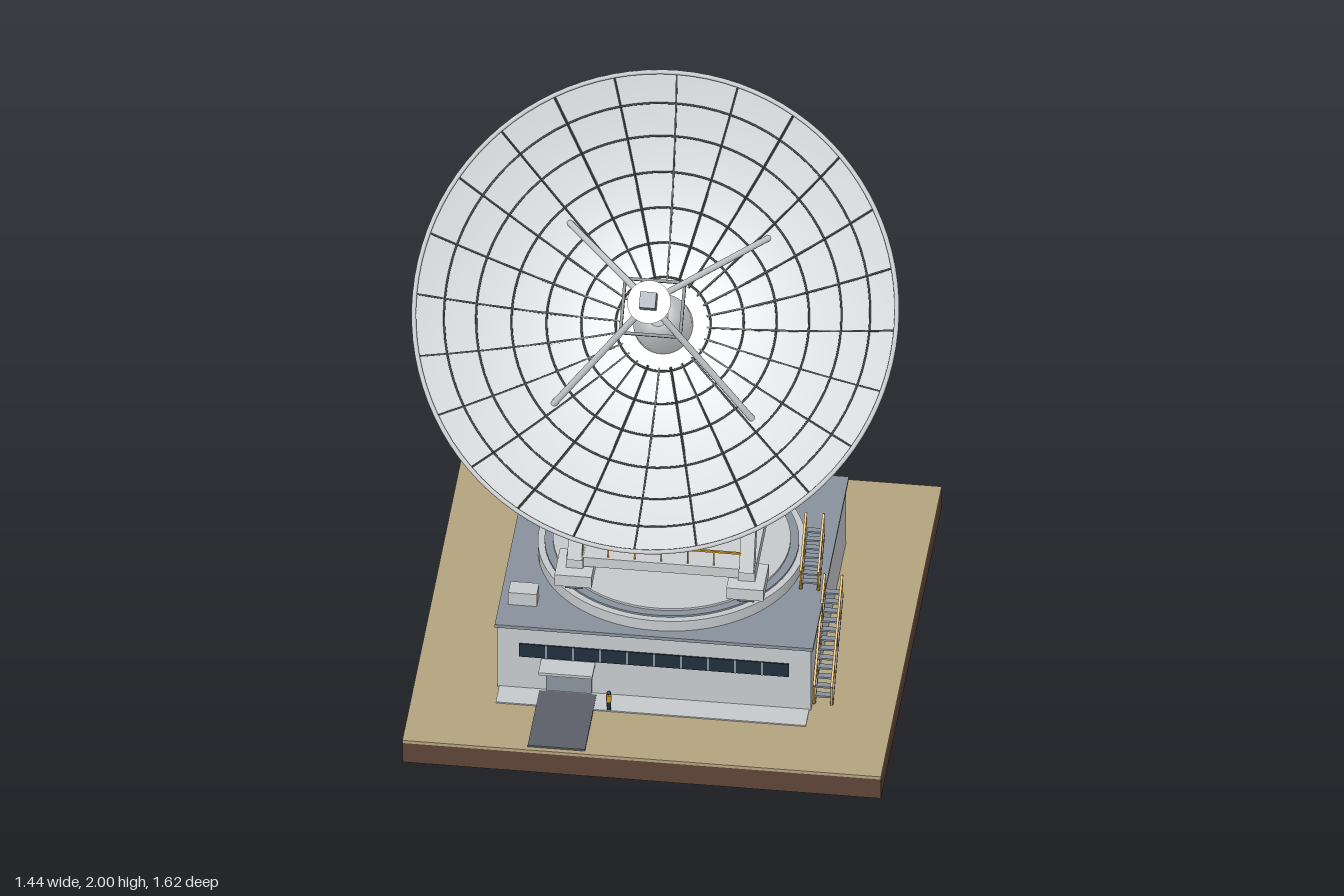
import * as THREE from 'three';

const material = (name, color, side = THREE.FrontSide) => {
  const m = new THREE.MeshStandardMaterial({ color, side });
  m.name = name;
  return m;
};
const M = {
  dish: material('dish white', 0xdcdfe1, THREE.DoubleSide),
  steel: material('pale steel', 0xcbcdcf),
  wall: material('wall grey', 0xc6c9cc),
  slate: material('slate grey', 0x88929c),
  seam: material('dark seam', 0x484c50),
  sand: material('dry ground', 0xb3a37e),
  soil: material('soil', 0x5e4437),
  glass: material('dark glass', 0x1f2e3b),
  asphalt: material('asphalt', 0x5c5e68),
  yellow: material('safety yellow', 0xcfa02a),
};
const V = (x, y, z) => new THREE.Vector3(x, y, z);

function add(parent, name, geo, mat, x = 0, y = 0, z = 0) {
  const mesh = new THREE.Mesh(geo, mat);
  mesh.name = name;
  mesh.position.set(x, y, z);
  parent.add(mesh);
  return mesh;
}
// box given by its limits
function box(parent, name, mat, x0, x1, y0, y1, z0, z1) {
  return add(parent, name, new THREE.BoxGeometry(x1 - x0, y1 - y0, z1 - z0), mat,
    (x0 + x1) / 2, (y0 + y1) / 2, (z0 + z1) / 2);
}
const drum = (parent, name, mat, r0, r1, y0, y1, x, z, n = 32) =>
  add(parent, name, new THREE.CylinderGeometry(r1, r0, y1 - y0, n), mat, x, (y0 + y1) / 2, z);
// straight member between two points; square section or round
function bar(parent, name, mat, a, b, w, round = false) {
  const len = a.distanceTo(b);
  const geo = round ? new THREE.CylinderGeometry(w / 2, w / 2, len, 8) : new THREE.BoxGeometry(w, w, len);
  if (round) geo.rotateX(Math.PI / 2);
  const mesh = add(parent, name, geo, mat);
  mesh.position.copy(a).lerp(b, 0.5);
  mesh.lookAt(b);
  return mesh;
}
function group(parent, name) {
  const g = new THREE.Group();
  g.name = name;
  if (parent) parent.add(g);
  return g;
}

const AXIS_Y = 1.1, AXIS_Z = -0.095;

function buildSite(root) {
  const g = group(root, 'site');
  box(g, 'soil block', M.soil, -0.71, 0.71, 0, 0.07, -0.81, 0.615);
  box(g, 'ground', M.sand, -0.71, 0.71, 0.07, 0.08, -0.81, 0.615);
  box(g, 'walkway', M.wall, -0.46, 0.46, 0.08, 0.084, 0.32, 0.4);
  box(g, 'driveway', M.asphalt, -0.34, -0.17, 0.08, 0.086, 0.33, 0.6);
  // building
  box(g, 'walls', M.wall, -0.465, 0.465, 0.08, 0.305, -0.505, 0.32);
  box(g, 'roof', M.slate, -0.472, 0.472, 0.305, 0.316, -0.515, 0.33);
  for (const z of [0.321, -0.506]) {
    box(g, 'windowBand', M.glass, -0.4, 0.4, 0.2, 0.247, z - 0.003, z + 0.003);
    for (let i = 1; i < 10; i++)
      box(g, 'mullion', M.slate, -0.403 + i * 0.08, -0.397 + i * 0.08, 0.2, 0.247, z - 0.004, z + 0.004);
  }
  box(g, 'garageDoor', M.slate, -0.32, -0.185, 0.084, 0.185, 0.318, 0.325);
  box(g, 'canopy', M.wall, -0.335, -0.175, 0.187, 0.196, 0.32, 0.39);
  for (const z of [-0.45, 0.2]) box(g, 'roofUnit', M.wall, -0.445, -0.36, 0.316, 0.36, z - 0.028, z + 0.028);
  // standing figure for scale
  drum(g, 'figureLegs', M.glass, 0.006, 0.007, 0.084, 0.115, -0.125, 0.395, 8);
  drum(g, 'figureTorso', M.yellow, 0.008, 0.008, 0.115, 0.138, -0.125, 0.395, 8);
  add(g, 'figureHead', new THREE.SphereGeometry(0.007, 8, 6), M.glass, -0.125, 0.145, 0.395);
}

// one flight of stairs with stringers, treads and handrails
function flight(parent, x0, x1, a, b, n) {
  const g = group(parent, 'stairs');
  for (const x of [x0, x1]) {
    const p = V(x, a.y, a.z), q = V(x, b.y, b.z), up = V(0, 0.065, 0);
    bar(g, 'stringer', M.seam, p, q, 0.009);
    bar(g, 'handrail', M.yellow, p.clone().add(up), q.clone().add(up), 0.007);
    for (let i = 0; i <= 4; i++) {
      const s = p.clone().lerp(q, i / 4);
      bar(g, 'railPost', M.yellow, s, s.clone().add(up), 0.005);
    }
  }
  for (let i = 1; i <= n; i++) {
    const y = a.y + (b.y - a.y) * i / n, z = a.z + (b.z - a.z) * i / n;
    box(g, 'tread', M.slate, x0, x1, y - 0.003, y + 0.003, z - 0.01, z + 0.01);
  }
}

function buildMount(root) {
  const g = group(root, 'mount');
  drum(g, 'trackBase', M.wall, 0.395, 0.395, 0.316, 0.352, 0, AXIS_Z, 64);
  drum(g, 'trackRing', M.slate, 0.375, 0.375, 0.352, 0.358, 0, AXIS_Z, 64);
  drum(g, 'trackTop', M.wall, 0.35, 0.35, 0.352, 0.365, 0, AXIS_Z, 64);
  box(g, 'deck', M.steel, -0.25, 0.25, 0.43, 0.463, -0.355, 0.165);
  drum(g, 'azimuthColumn', M.steel, 0.055, 0.055, 0.46, 0.92, 0, AXIS_Z);
  box(g, 'columnHead', M.steel, -0.09, 0.09, 0.9, 1.06, AXIS_Z - 0.055, AXIS_Z + 0.055);
  // deck railings
  for (const z of [0.155, -0.345]) {
    box(g, 'deckRail', M.yellow, -0.235, 0.235, 0.511, 0.517, z - 0.003, z + 0.003);
    for (let i = 0; i <= 6; i++)
      bar(g, 'deckPost', M.yellow, V(-0.235 + i * 0.0783, 0.46, z), V(-0.235 + i * 0.0783, 0.515, z), 0.004);
  }
  for (const s of [-1, 1]) {
    const x = s * 0.255;
    // A-frame in the side plane
    const P = (y, side) => V(x, y, AXIS_Z + side * (0.25 - (y - 0.45) * 0.37));
    box(g, 'frameSill', M.steel, x - 0.025, x + 0.025, 0.425, 0.465, -0.36, 0.17);
    for (const d of [-1, 1]) {
      bar(g, 'frameLeg', M.steel, P(0.45, d), P(1.06, d), 0.043);
      bar(g, 'lowerBrace', M.steel, P(0.46, d), P(0.635, -d), 0.018);
      bar(g, 'upperBrace', M.steel, P(0.635, d), P(0.83, -d), 0.018);
      // wheel bogies
      const z = AXIS_Z + d * 0.24;
      box(g, 'bogie', M.steel, x - 0.055, x + 0.055, 0.385, 0.425, z - 0.065, z + 0.065);
      for (const k of [-0.036, 0.036]) {
        const wheel = drum(g, 'wheel', M.slate, 0.023, 0.023, 0.35, 0.4, x, z + k, 20);
        wheel.rotation.z = Math.PI / 2;
        wheel.position.y = 0.386;
      }
    }
    bar(g, 'frameTie', M.steel, P(0.635, 1), P(0.635, -1), 0.026);
    bar(g, 'frameTie', M.steel, P(0.83, 1), P(0.83, -1), 0.034);
    box(g, 'bearingBlock', M.steel, x - 0.03, x + 0.03, 1.02, 1.11, AXIS_Z - 0.05, AXIS_Z + 0.05);
    const cap = drum(g, 'bearingCap', M.slate, 0.044, 0.044, 0, 0.05, 0, AXIS_Z);
    cap.rotation.z = Math.PI / 2;
    cap.position.set(s * 0.295, AXIS_Y, AXIS_Z);
    // drive pillars
    box(g, 'drivePillar', M.steel, s * 0.14 - 0.026, s * 0.14 + 0.026, 0.46, 0.78, AXIS_Z - 0.03, AXIS_Z + 0.03);
    box(g, 'driveBox', M.slate, s * 0.14 - 0.035, s * 0.14 + 0.035, 0.78, 0.826, AXIS_Z - 0.055, AXIS_Z + 0.055);
  }
  const shaft = drum(g, 'elevationShaft', M.steel, 0.042, 0.042, 0, 0.56, 0, AXIS_Z);
  shaft.rotation.z = Math.PI / 2;
  shaft.position.y = AXIS_Y;
  flight(g, 0.47, 0.522, V(0, 0.08, 0.285), V(0, 0.31, 0.04), 12);
  flight(g, 0.4, 0.452, V(0, 0.316, 0.045), V(0, 0.44, -0.08), 7);
}

// reflector frame: +z is the beam axis, origin on the elevation shaft
function buildReflector(root) {
  const g = group(root, 'reflector');
  const R = 0.717, U0 = 0.28;
  const surf = r => U0 + 0.27 * (r / R) ** 2;
  const chord = r => 0.075 + (r - 0.13) / (R - 0.13) * 0.46;
  const at = (r, t, u) => V(r * Math.cos(t), r * Math.sin(t), u);
  const profile = [];
  for (let i = 0; i <= 20; i++) profile.push(new THREE.Vector2(R * i / 20, surf(R * i / 20)));
  add(g, 'dishSurface', new THREE.LatheGeometry(profile, 96).rotateX(Math.PI / 2), M.dish);
  const hoop = (name, mat, r, u, w) => add(g, name, new THREE.TorusGeometry(r, w, 6, 96), mat, 0, 0, u);
  hoop('rim', M.steel, R - 0.003, surf(R), 0.007);
  const rings = [0.14, 0.24, 0.34, 0.44, 0.54, 0.63];
  for (const r of rings) hoop('ringSeam', M.seam, r, surf(r) + 0.001, 0.0032);
  for (const r of [0.4, 0.6]) hoop('rearHoop', M.seam, r, chord(r), 0.007);
  hoop('rearHoop', M.steel, 0.25, chord(0.25), 0.006);

  // radial seams and rear trusses
  const stations = [0.13, 0.25, 0.4, 0.52, 0.62, 0.71];
  for (let i = 0; i < 24; i++) {
    const t = i * Math.PI / 12;
    for (let k = 0; k < 5; k++) {
      const a = stations[k], b = stations[k + 1];
      bar(g, 'radialSeam', M.seam, at(a, t, surf(a) + 0.001), at(b, t, surf(b) + 0.001), 0.005);
      bar(g, 'trussRib', M.steel, at(a, t, surf(a) - 0.007), at(b, t, surf(b) - 0.007), 0.01);
      bar(g, 'trussWeb', M.steel, at(a, t, chord(a)), at(b, t, surf(b) - 0.006), 0.008);
      if (k) bar(g, 'trussPost', M.steel, at(a, t, chord(a)), at(a, t, surf(a) - 0.006), 0.008);
    }
    bar(g, 'trussChord', M.steel, at(0.12, t, chord(0.12)), at(R - 0.01, t, chord(R - 0.01)), 0.012);
  }
  const hub = drum(g, 'hub', M.steel, 0.1, 0.13, 0, 0.24, 0, 0);
  hub.rotation.x = Math.PI / 2;
  hub.position.set(0, 0, 0.155);

  // feed cone
  const cone = [[0.088, 0.28], [0.086, 0.32], [0.062, 0.41], [0.045, 0.445], [0.03, 0.458]].map(p => new THREE.Vector2(...p));
  add(g, 'feedCone', new THREE.LatheGeometry(cone, 40).rotateX(Math.PI / 2), M.dish);
  add(g, 'feedWindow', new THREE.CylinderGeometry(0.03, 0.03, 0.006, 32).rotateX(Math.PI / 2), M.slate, 0, 0, 0.456);

  // four-legged secondary reflector support
  const corners = [[1, 1], [-1, 1], [-1, -1], [1, -1]];
  const leg = ([sx, sy], k) => V(sx * 0.295 * k, sy * 0.27 * k, 0.757 - 0.397 * k);
  corners.forEach((c, i) => {
    bar(g, 'feedLeg', M.steel, leg(c, 0.12), leg(c, 1), 0.02, true);
    bar(g, 'feedLegTie', M.seam, leg(c, 0.3), leg(corners[(i + 1) % 4], 0.3), 0.009);
  });
  add(g, 'secondaryReflector', new THREE.CylinderGeometry(0.05, 0.065, 0.03, 32).rotateX(-Math.PI / 2), M.dish, 0, 0, 0.745);
  box(g, 'receiverBox', M.slate, -0.024, 0.024, -0.024, 0.024, 0.755, 0.805);

  // counterweights, elevation gears and brackets
  for (const s of [-1, 1]) {
    const x = s * 0.145, xc = s * 0.183;
    box(g, 'counterweight', M.slate, xc - 0.051, xc + 0.051, 0.31, 0.45, -0.03, 0.11);
    bar(g, 'counterweightArm', M.steel, V(xc, 0.1, 0.12), V(xc, 0.33, 0.085), 0.026);
    bar(g, 'counterweightArm', M.steel, V(xc, 0, 0), V(xc, 0.32, 0.04), 0.03);
    bar(g, 'armRoot', M.steel, V(xc, 0, 0), V(xc, 0.12, 0.12), 0.024);
    bar(g, 'armRoot', M.steel, V(xc, 0.1, 0.12), V(s * 0.24, 0.12, 0.26), 0.022);
    const pts = [];
    for (let i = 0; i <= 16; i++) {
      const a = (-4 - 85 * i / 16) * Math.PI / 180;
      pts.push(V(x, 0.3 * Math.cos(a), 0.3 * Math.sin(a)));
    }
    add(g, 'elevationGear', new THREE.TubeGeometry(new THREE.CatmullRomCurve3(pts), 32, 0.013, 8), M.slate);
    bar(g, 'gearStrut', M.steel, V(x, 0, 0), V(x, 0.005, -0.3), 0.024);
    const p = [V(x, -0.124, 0.152), V(x, -0.286, 0), V(x, -0.03, 0)];
    bar(g, 'frontBracket', M.steel, p[0], p[1], 0.02);
    bar(g, 'frontBracket', M.steel, p[1], p[2], 0.02);
    bar(g, 'frontBracket', M.steel, p[0], p[2], 0.02);
  }
  g.position.set(0, AXIS_Y, AXIS_Z);
  g.rotation.x = -Math.PI / 4;
}

export function createModel() {
  const root = group(null, 'radio telescope');
  buildSite(root);
  buildMount(root);
  buildReflector(root);
  return root;
}
